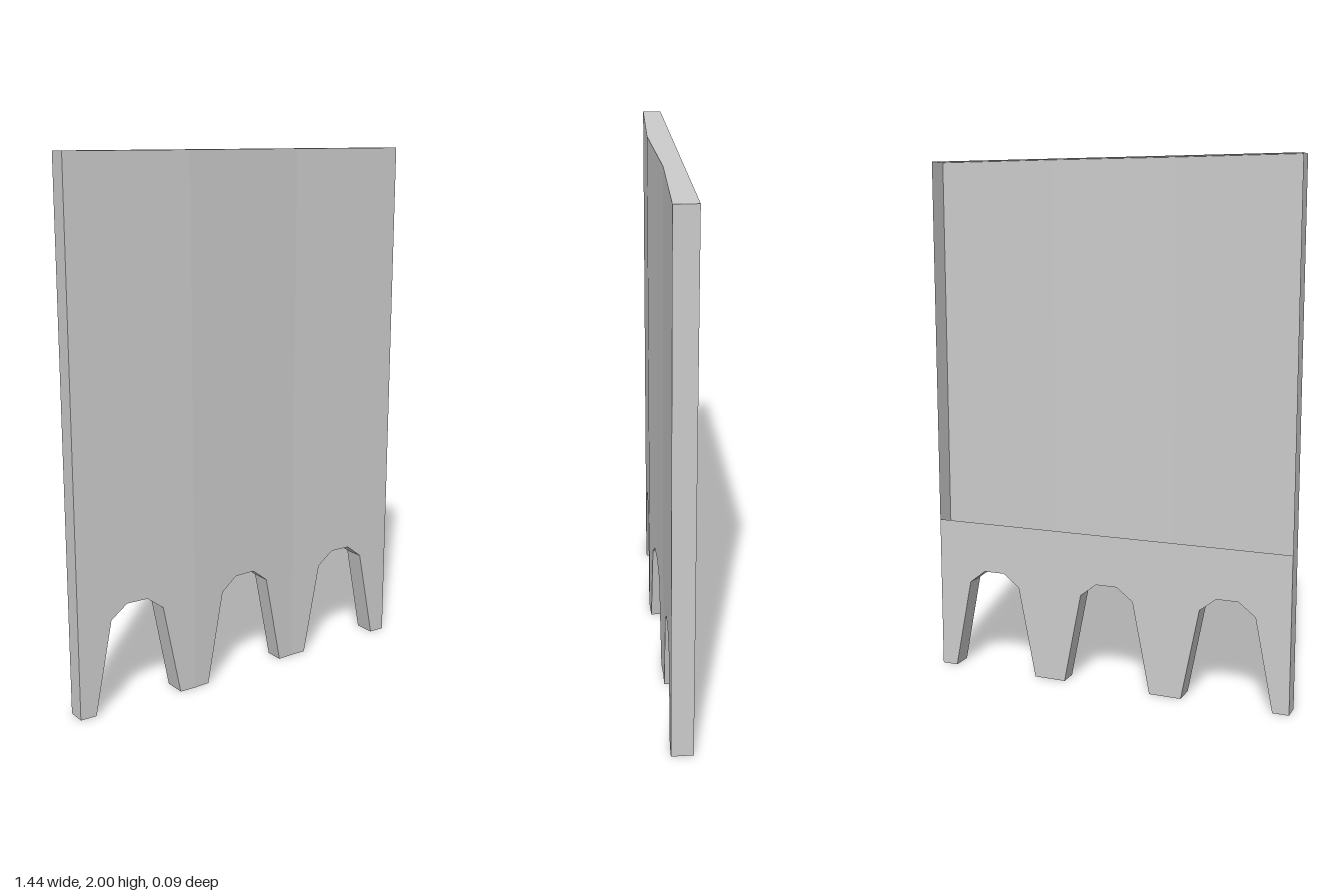
import * as THREE from 'three';

const HALF = 0.72, HEIGHT = 2, BACK_TOP = 0.6, BACK_Z = -0.044;
const FOLD_X = [-HALF, -0.24, 0.24, HALF];
const FOLD_Z = [0.024, 0.043, 0.025, 0.038];

// depth of the gently folded front sheet at a given x
function frontZ(x) {
  const i = x < FOLD_X[1] ? 0 : x < FOLD_X[2] ? 1 : 2;
  const t = (x - FOLD_X[i]) / (FOLD_X[i + 1] - FOLD_X[i]);
  return THREE.MathUtils.lerp(FOLD_Z[i], FOLD_Z[i + 1], t);
}

// one faceted arch between two legs, left to right
function archPoints(c) {
  const half = [[0.177, 0], [0.107, 0.355], [0.042, 0.405]];
  return [
    ...half.map(([x, y]) => [c - x, y]),
    ...half.slice().reverse().map(([x, y]) => [c + x, y]),
  ];
}

const ARCHES = [-0.48, 0, 0.48].map(archPoints);

// flat panel over one bay, with its arch cut from the bottom edge
function bayGeometry(i, top) {
  const [x0, x1] = [FOLD_X[i], FOLD_X[i + 1]];
  const outline = [[x0, 0], ...ARCHES[i], [x1, 0], [x1, top], [x0, top]];
  return new THREE.ShapeGeometry(new THREE.Shape(outline.map(p => new THREE.Vector2(...p))));
}

// strip of walls joining the back plane to the front sheet along a path
function rimGeometry(path) {
  const pos = [];
  for (let i = 0; i < path.length - 1; i++) {
    const [ax, ay] = path[i], [bx, by] = path[i + 1];
    const af = [ax, ay, frontZ(ax)], ab = [ax, ay, BACK_Z];
    const bf = [bx, by, frontZ(bx)], bb = [bx, by, BACK_Z];
    pos.push(...af, ...ab, ...bb, ...af, ...bb, ...bf);
  }
  const g = new THREE.BufferGeometry();
  g.setAttribute('position', new THREE.Float32BufferAttribute(pos, 3));
  g.computeVertexNormals();
  return g;
}

export function createModel() {
  const model = new THREE.Group();
  model.name = 'archedPanel';
  const material = new THREE.MeshStandardMaterial({
    color: 0xcccccc, flatShading: true, side: THREE.DoubleSide,
  });
  const add = (name, geometry) => {
    const mesh = new THREE.Mesh(geometry, material);
    mesh.name = name;
    model.add(mesh);
  };

  for (let i = 0; i < 3; i++) {
    // folded front sheet
    const front = bayGeometry(i, HEIGHT);
    const p = front.attributes.position;
    for (let k = 0; k < p.count; k++) p.setZ(k, frontZ(p.getX(k)));
    front.computeVertexNormals();
    add('frontSheet' + (i + 1), front);

    // low back panel behind the legs, turned to face the rear
    const back = bayGeometry(i, BACK_TOP);
    back.translate(0, 0, BACK_Z);
    back.index.array.reverse();
    back.computeVertexNormals();
    add('backPanel' + (i + 1), back);
  }

  // leg soles and arch undersides
  add('legsAndArches', rimGeometry([
    [-HALF, 0], ...ARCHES[0], [FOLD_X[1], 0], ...ARCHES[1], [FOLD_X[2], 0], ...ARCHES[2], [HALF, 0],
  ]));
  // side walls and top edge; the upper back stays open
  add('leftSide', rimGeometry([[HALF, 0], [HALF, HEIGHT]]));
  add('topEdge', rimGeometry(FOLD_X.slice().reverse().map(x => [x, HEIGHT])));
  add('rightSide', rimGeometry([[-HALF, HEIGHT], [-HALF, 0]]));

  return model;
}
